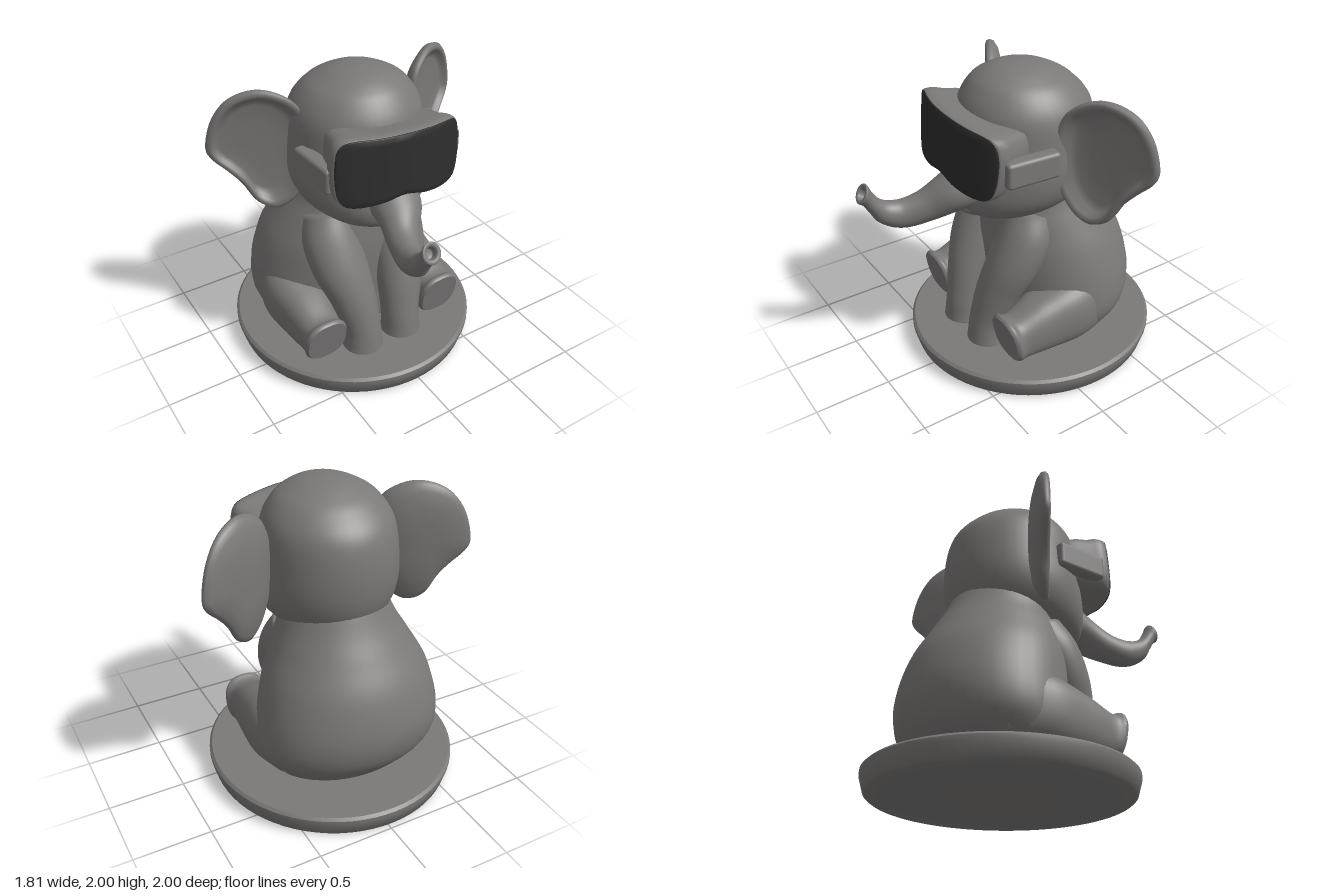
import * as THREE from 'three';
import { toCreasedNormals } from 'three/addons/utils/BufferGeometryUtils.js';
import { RoundedBoxGeometry } from 'three/addons/geometries/RoundedBoxGeometry.js';

const V = (x, y, z = 0) => new THREE.Vector3(x, y, z);

// Joins rows of points (each a closed loop) into a surface with capped ends.
function skin(rows, crease) {
  const n = rows[0].length, pos = [], idx = [];
  rows.forEach(r => r.forEach(p => pos.push(p.x, p.y, p.z)));
  for (let i = 0; i < rows.length - 1; i++) for (let j = 0; j < n; j++) {
    const a = i * n + j, b = i * n + (j + 1) % n;
    idx.push(a, b, b + n, a, b + n, a + n);
  }
  [0, rows.length - 1].forEach((r, end) => {
    const c = rows[r].reduce((s, p) => s.add(p), V(0, 0, 0)).divideScalar(n);
    const k = pos.push(c.x, c.y, c.z) / 3 - 1;
    for (let j = 0; j < n; j++) {
      const a = r * n + j, b = r * n + (j + 1) % n;
      if (end) idx.push(k, a, b); else idx.push(k, b, a);
    }
  });
  const g = new THREE.BufferGeometry();
  g.setAttribute('position', new THREE.Float32BufferAttribute(pos, 3));
  g.setIndex(idx);
  g.userData.crease = crease;
  return finish(g);
}

function finish(g) {
  const crease = g.userData.crease;
  if (crease) return toCreasedNormals(g, crease);
  g.computeVertexNormals();
  return g;
}

// Smooth loft through rings [x, y, z, halfWidth, halfDepth, tiltDegrees].
function loft(rings, { side = 1, square = 1, steps = 6, crease = 0 } = {}) {
  const path = new THREE.CatmullRomCurve3(rings.map(r => V(r[0] * side, r[1], r[2])), false, 'catmullrom');
  const size = new THREE.CatmullRomCurve3(rings.map(r => V(r[3], r[4], r[5])), false, 'catmullrom');
  const rows = [], m = (rings.length - 1) * steps, n = 40;
  const bend = v => Math.sign(v) * Math.abs(v) ** square;
  for (let i = 0; i <= m; i++) {
    const p = path.getPoint(i / m), s = size.getPoint(i / m);
    const t = THREE.MathUtils.degToRad(s.z), row = [];
    for (let j = 0; j < n; j++) {
      const a = j / n * Math.PI * 2, v = s.y * bend(Math.sin(a));
      row.push(V(p.x + s.x * bend(Math.cos(a)), p.y + v * Math.cos(t), p.z + v * Math.sin(t)));
    }
    rows.push(row);
  }
  return skin(rows, crease);
}

// Shell made of scaled copies of a counter-clockwise outline; rings are [scale, offset], back to front.
function shell(outline, centre, rings, depth, { side = 1, crease = 0 } = {}) {
  const curve = new THREE.CatmullRomCurve3(outline.map(p => V(...p)), true, 'catmullrom');
  const pts = curve.getPoints(64).slice(0, 64);
  if (side < 0) pts.reverse();
  const rows = rings.map(([s, off]) => pts.map(p => {
    const x = centre[0] + (p.x - centre[0]) * s, y = centre[1] + (p.y - centre[1]) * s;
    return V(x * side, y, depth(x, y, off));
  }));
  return skin(rows, crease);
}

export function createModel() {
  const grey = new THREE.MeshStandardMaterial({ color: 0x7b7978 });
  grey.name = 'warm grey';
  const black = new THREE.MeshStandardMaterial({ color: 0x2d2d2d });
  black.name = 'visor black';
  const model = new THREE.Group();
  model.name = 'sittingElephant';
  const add = (parent, name, geo, mat = grey) => {
    const m = new THREE.Mesh(geo, mat);
    m.name = name;
    parent.add(m);
    return m;
  };
  const group = (name, x) => {
    const g = new THREE.Group();
    g.name = name;
    g.position.x = x;
    model.add(g);
    return g;
  };

  // Round base with a softened rim
  const profile = [[0, 0], [0.785, 0], [0.8, 0.012], [0.825, 0.1], [0.825, 0.128], [0.808, 0.145], [0, 0.145]];
  const base = add(model, 'base', toCreasedNormals(
    new THREE.LatheGeometry(profile.map(p => new THREE.Vector2(...p)), 72), 0.7));
  base.position.set(-0.025, 0, -0.155);
  base.scale.z = 1.024;

  // Pear-shaped body, from neck to seat
  const body = group('bodyGroup', -0.055);
  add(body, 'body', loft([
    [0.02, 1.32, -0.13, 0.32, 0.36, 90], [0.02, 1.15, -0.21, 0.375, 0.36, 90],
    [0.01, 1.0, -0.245, 0.45, 0.415, 90], [0, 0.8, -0.295, 0.545, 0.475, 90],
    [0, 0.55, -0.33, 0.61, 0.5, 90], [0, 0.35, -0.32, 0.62, 0.475, 90],
    [0, 0.2, -0.27, 0.55, 0.415, 90], [0, 0.135, -0.25, 0.49, 0.37, 90],
  ]));

  for (const side of [1, -1]) {
    const label = side > 0 ? 'left' : 'right';
    // Front legs, leaning forward and in
    add(body, label + 'FrontLeg', loft([
      [0.22, 1.06, -0.06, 0.15, 0.16, 70], [0.24, 0.9, 0.03, 0.185, 0.17, 70],
      [0.225, 0.7, 0.13, 0.185, 0.165, 72], [0.185, 0.5, 0.215, 0.155, 0.145, 75],
      [0.155, 0.3, 0.27, 0.13, 0.13, 82], [0.152, 0.2, 0.285, 0.13, 0.13, 90],
      [0.152, 0.14, 0.285, 0.138, 0.138, 90],
    ], { side }));
    // Hind legs with flat soles facing forward
    add(body, label + 'HindLeg', loft([
      [0.34, 0.37, -0.45, 0.22, 0.22, 0], [0.41, 0.385, -0.2, 0.225, 0.24, 0],
      [0.435, 0.35, 0.06, 0.175, 0.2, 5], [0.445, 0.315, 0.24, 0.14, 0.16, 11],
      [0.447, 0.322, 0.305, 0.15, 0.168, 11], [0.447, 0.322, 0.332, 0.138, 0.155, 11],
    ], { side, square: 0.8, crease: 0.8 }));
  }

  // Head with full cheeks
  const head = group('headGroup', -0.03);
  add(head, 'head', loft([
    [0, 2.0, -0.045, 0.02, 0.02, 90], [0, 1.985, -0.05, 0.13, 0.14, 90],
    [0, 1.945, -0.055, 0.23, 0.24, 90], [0, 1.88, -0.07, 0.325, 0.33, 90],
    [0, 1.75, -0.09, 0.405, 0.42, 90], [0, 1.55, -0.1, 0.435, 0.45, 90],
    [0, 1.35, -0.08, 0.445, 0.46, 90], [0, 1.2, -0.045, 0.4, 0.44, 90],
    [0, 1.1, 0.0, 0.3, 0.36, 90], [0, 1.03, 0.03, 0.16, 0.19, 90],
  ]));
  const lip = add(head, 'lowerLip', new THREE.SphereGeometry(1, 28, 18));
  lip.position.set(0, 1.12, 0.28);
  lip.scale.set(0.12, 0.06, 0.11);

  // Curled trunk ending in a hollow flared tip
  add(model, 'trunk', loft([
    [-0.02, 1.3, 0.28, 0.18, 0.17, 20], [-0.045, 1.235, 0.455, 0.15, 0.12, 28],
    [-0.11, 1.158, 0.59, 0.11, 0.102, 20], [-0.16, 1.125, 0.73, 0.083, 0.095, 0],
    [-0.18, 1.162, 0.835, 0.066, 0.075, -33], [-0.187, 1.222, 0.895, 0.056, 0.052, -46],
    [-0.19, 1.285, 0.938, 0.053, 0.05, -43], [-0.19, 1.325, 0.967, 0.06, 0.065, -30],
    [-0.19, 1.325, 0.967, 0.036, 0.04, -30], [-0.19, 1.3, 0.935, 0.025, 0.028, -30],
  ]));

  // Ears: dished sheets with a raised rim, thicker toward the head, swept back
  const earOutline = [
    [0.36, 1.6], [0.38, 1.35], [0.43, 1.22], [0.49, 1.14], [0.57, 1.1], [0.66, 1.15], [0.73, 1.28], [0.8, 1.37],
    [0.88, 1.46], [0.905, 1.55], [0.86, 1.73], [0.76, 1.865], [0.61, 1.92], [0.47, 1.87], [0.39, 1.77],
  ];
  const earRings = [[0, -0.06], [0.3, -0.06], [0.6, -0.055], [0.85, -0.04], [0.96, -0.022], [1, 0],
    [0.98, 0.016], [0.93, 0.022], [0.87, 0.016], [0.8, -0.008], [0.7, -0.018], [0.4, -0.02], [0, -0.02]];
  const earDepth = (x, y, off) => -0.1 - 0.56 * (x - 0.4) + off * (1 + 2 * (0.9 - x));
  for (const side of [1, -1])
    add(model, (side > 0 ? 'left' : 'right') + 'Ear',
      shell(earOutline, [0.62, 1.54], earRings, earDepth, { side }));

  // Headset: curved housing, dark front plate and side strap mounts
  const visorOutline = [
    [-0.45, 1.7], [-0.46, 1.56], [-0.445, 1.44], [-0.38, 1.385], [-0.2, 1.385], [-0.05, 1.405], [0.1, 1.365],
    [0.25, 1.345], [0.35, 1.36], [0.395, 1.43], [0.412, 1.55], [0.405, 1.66], [0.36, 1.735], [0.18, 1.765],
    [0, 1.785], [-0.2, 1.795], [-0.36, 1.8], [-0.425, 1.77],
  ];
  const visorDepth = (x, y, off) => 0.495 - 0.55 * (x + 0.04) ** 2 - 0.07 * (y - 1.58) + off;
  add(model, 'headsetHousing', shell(visorOutline, [-0.025, 1.57],
    [[0, -0.32], [0.8, -0.32], [0.9, -0.22], [0.94, -0.14], [0.99, -0.09], [1.015, -0.05], [1.015, -0.01],
      [0.995, -0.002], [0.6, -0.002], [0.3, -0.002], [0, -0.002]], visorDepth, { crease: 0.9 }));
  add(model, 'visorPlate', shell(visorOutline, [-0.025, 1.57],
    [[1, -0.003], [1, 0.003], [0.98, 0.006], [0.8, 0.006], [0.6, 0.006], [0.4, 0.006], [0.2, 0.006], [0, 0.006]],
    visorDepth, { crease: 0.9 }), black);
  for (const side of [1, -1]) {
    const strap = add(model, (side > 0 ? 'left' : 'right') + 'StrapMount',
      new RoundedBoxGeometry(0.1, 0.165, 0.36, 4, 0.025));
    strap.position.set(-0.01 + side * 0.435, 1.525, 0.165);
    strap.rotation.y = -side * 0.06;
  }
  return model;
}
